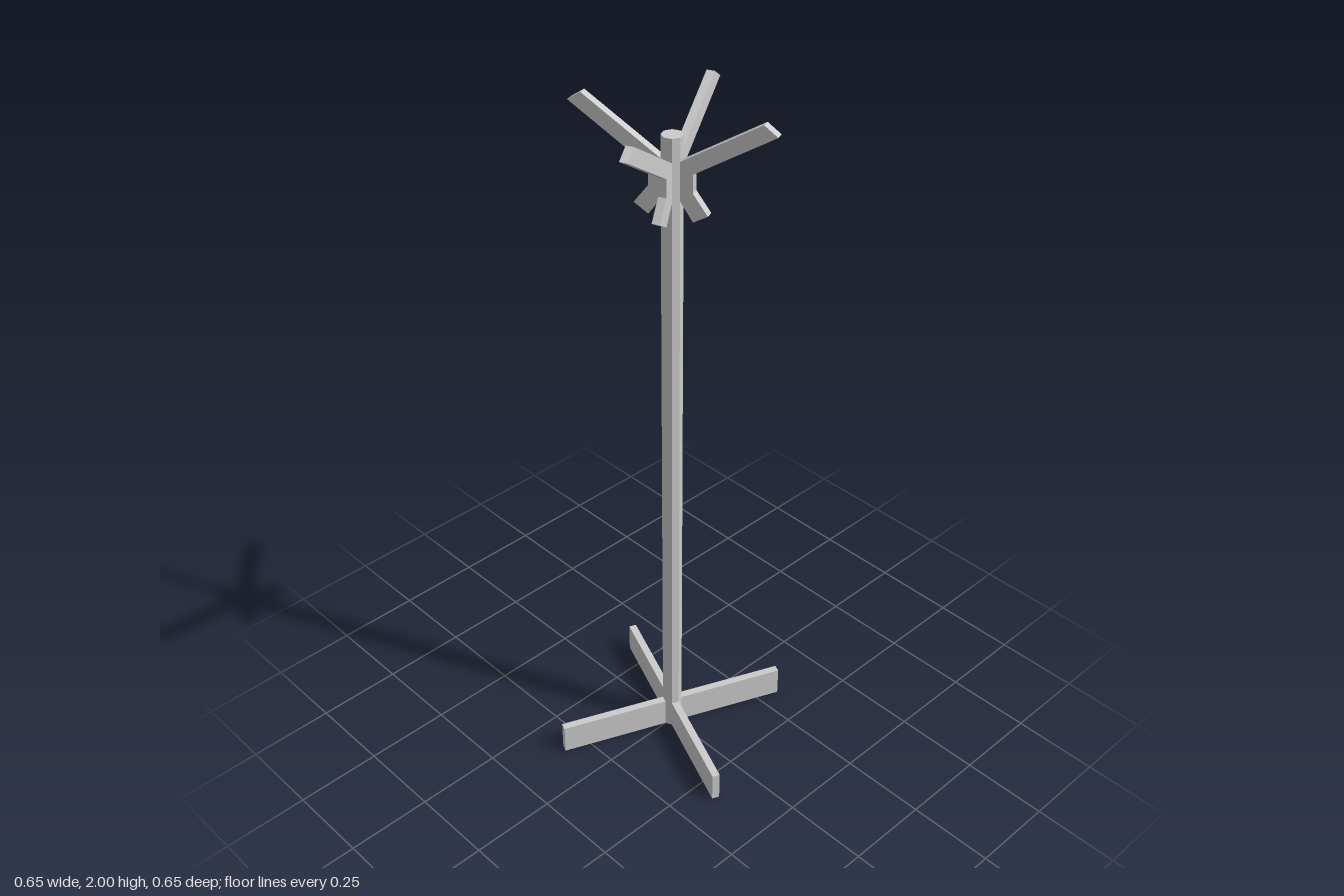
import * as THREE from 'three';

export function createModel() {
  const model = new THREE.Group();
  const material = new THREE.MeshStandardMaterial({ color: 0xcccccc, flatShading: true });
  const add = (name, geometry, angle = 0) => {
    const mesh = new THREE.Mesh(geometry, material);
    mesh.name = name;
    mesh.rotation.y = angle;
    model.add(mesh);
  };
  const thickness = 0.022;

  // Octagonal pole, full height
  const poleHeight = 1.93;
  add('pole', new THREE.CylinderGeometry(0.028, 0.028, poleHeight, 8).translate(0, poleHeight / 2, 0));

  // Foot board, running outward along +x from inside the pole
  const footInner = 0.02, footOuter = 0.346, footHeight = 0.09;
  const foot = new THREE.BoxGeometry(footOuter - footInner, footHeight, thickness)
    .translate((footInner + footOuter) / 2, footHeight / 2, 0);

  // Forked hook: long upper prong, short lower prong, flat back on the pole
  const hookProfile = new THREE.Shape([
    [0.024, 1.765], [0.06, 1.712], [0.099, 1.736], [0.059, 1.79],
    [0.059, 1.84], [0.272, 1.975], [0.236, 2.0], [0.024, 1.866],
  ].map(([r, y]) => new THREE.Vector2(r, y)));
  const hook = new THREE.ExtrudeGeometry(hookProfile, { depth: thickness, bevelEnabled: false })
    .translate(0, 0, -thickness / 2);

  // Four of each, alternating around the pole
  for (let i = 0; i < 4; i++) {
    const turn = i * Math.PI / 2;
    add('foot' + (i + 1), foot, turn - Math.PI / 8);
    add('hook' + (i + 1), hook, turn + Math.PI / 8);
  }
  return model;
}
